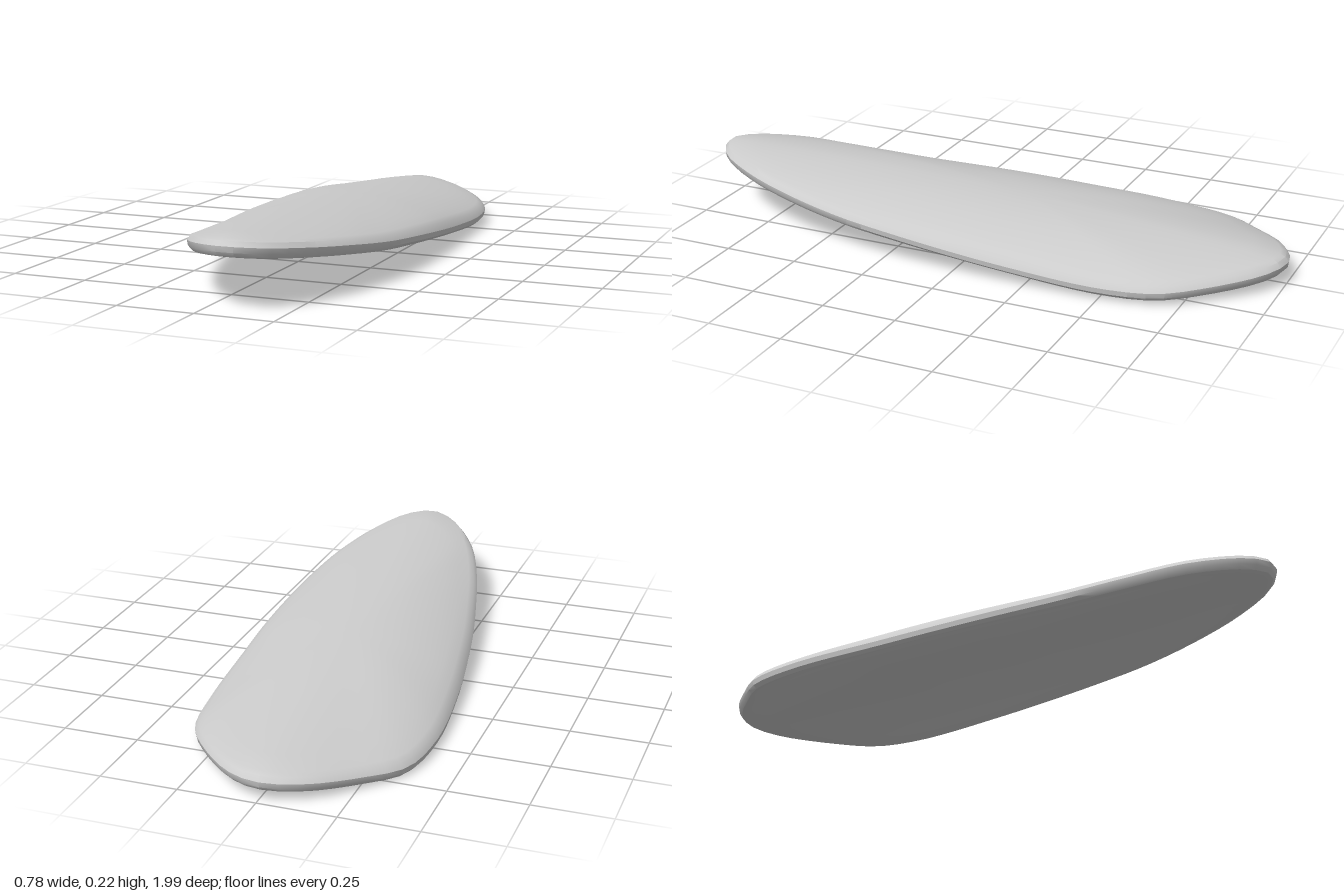
import * as THREE from 'three';
import { toCreasedNormals } from 'three/addons/utils/BufferGeometryUtils.js';

// Rim of the shell as [x, y, z]: back tip, left side, front tip, right side
const RIM = [
  [-0.01, 0.06, -1], [0.1, 0.055, -0.96], [0.26, 0.042, -0.8], [0.335, 0.034, -0.68],
  [0.37, 0.034, -0.5], [0.385, 0.055, -0.2], [0.39, 0.075, 0], [0.385, 0.095, 0.2],
  [0.37, 0.115, 0.4], [0.335, 0.14, 0.6], [0.27, 0.165, 0.8], [0.18, 0.185, 0.95],
  [0.09, 0.192, 0.995], [0, 0.185, 0.955], [-0.12, 0.158, 0.8], [-0.2, 0.12, 0.6],
  [-0.255, 0.09, 0.4], [-0.303, 0.068, 0.2], [-0.34, 0.05, 0], [-0.37, 0.034, -0.2],
  [-0.393, 0.022, -0.5], [-0.362, 0.02, -0.7], [-0.27, 0.032, -0.82], [-0.13, 0.052, -0.955],
];
const SEGMENTS = 80;
const CENTRE = { x: 0.03, z: -0.1 };

// Height of the long spine
const spine = (z) => 0.15 + 0.066 * z - 0.024 * z * z;

// Rings from the top centre over the rim to the bottom centre:
// r = share of the radius, inset = distance in from the rim, dy = offset from mid surface
const INNER = [0, 0.2, 0.4, 0.6, 0.78, 0.9];
const RINGS = [
  ...INNER.map((r) => ({ r, inset: 0.03, dy: 0.029 })),
  { r: 1, inset: 0.03, dy: 0.028 },
  { r: 1, inset: 0.012, dy: 0.023 },
  { r: 1, inset: 0, dy: 0.008 },
  { r: 1, inset: 0.003, dy: -0.01 },
  { r: 1, inset: 0.014, dy: -0.024 },
  { r: 1, inset: 0.03, dy: -0.028 },
  ...INNER.slice().reverse().map((r) => ({ r, inset: 0.03, dy: -0.028 })),
];

function shellGeometry() {
  const curve = new THREE.CatmullRomCurve3(RIM.map((p) => new THREE.Vector3(...p)), true);
  const positions = [];
  const index = [];
  for (const { r, inset, dy } of RINGS) {
    for (let j = 0; j < SEGMENTS; j++) {
      const p = curve.getPointAt(j / SEGMENTS);
      const t = curve.getTangentAt(j / SEGMENTS);
      const len = Math.hypot(t.x, t.z);
      const radius = Math.hypot(p.x - CENTRE.x, p.z - CENTRE.z);
      const x = CENTRE.x + r * (p.x - (inset * t.z) / len - CENTRE.x);
      const z = CENTRE.z + r * (p.z + (inset * t.x) / len - CENTRE.z);
      // arched across, dropping from the spine to the rim
      const reach = r * (1 - inset / radius);
      const y = spine(z) + (p.y - spine(p.z)) * Math.pow(reach, 2.2) + dy;
      positions.push(x, y, z);
    }
  }
  const last = RINGS.length - 2;
  for (let i = 0; i <= last; i++) {
    for (let j = 0; j < SEGMENTS; j++) {
      const k = (j + 1) % SEGMENTS;
      const a = i * SEGMENTS + j, a2 = i * SEGMENTS + k;
      const b = a + SEGMENTS, b2 = a2 + SEGMENTS;
      if (i > 0) index.push(a, a2, b);
      if (i < last) index.push(a2, b2, b);
    }
  }
  const geometry = new THREE.BufferGeometry();
  geometry.setAttribute('position', new THREE.Float32BufferAttribute(positions, 3));
  geometry.setIndex(index);
  // rest it on the ground
  geometry.computeBoundingBox();
  geometry.translate(0, -geometry.boundingBox.min.y, 0);
  return toCreasedNormals(geometry, 0.6);
}

export function createModel() {
  const group = new THREE.Group();
  group.name = 'curvedShell';
  const grey = new THREE.MeshStandardMaterial({ color: 0xcccccc });
  grey.name = 'light grey';
  const shell = new THREE.Mesh(shellGeometry(), grey);
  shell.name = 'shell';
  group.add(shell);
  return group;
}
